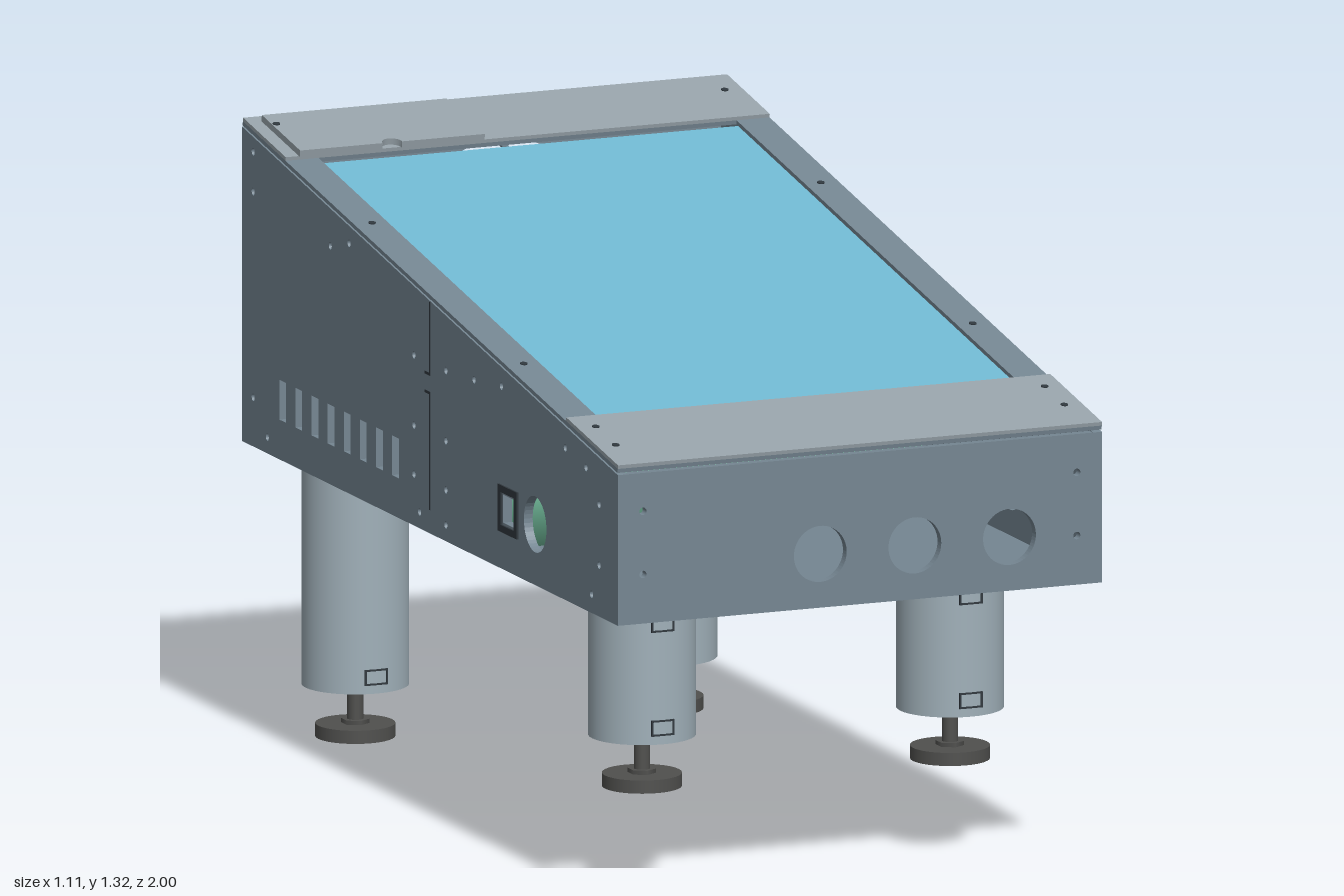
import * as THREE from 'three';
import { mergeVertices } from 'three/addons/utils/BufferGeometryUtils.js';

const mat = (name, color, side = THREE.FrontSide) => {
  const m = new THREE.MeshStandardMaterial({ color, side });
  m.name = name;
  return m;
};

export function createModel() {
  const model = new THREE.Group();
  const body = mat('slate body', 0x758692);
  const plate = mat('pale grey plate', 0x97a3aa);
  const legGrey = mat('leg grey', 0xa0b0b9);
  const glass = mat('blue screen', 0x70b9d2);
  const rubber = mat('dark rubber', 0x50504e);
  const green = mat('green electronics', 0x7dcdaa);
  const wood = mat('brown backing', 0x9c7038);
  const dark = mat('dark seam', 0x30383e);

  const add = (parent, name, geometry, material, x = 0, y = 0, z = 0) => {
    const m = new THREE.Mesh(geometry, material);
    m.name = name;
    m.position.set(x, y, z);
    parent.add(m);
    return m;
  };
  const box = (parent, name, material, x0, x1, y0, y1, z0, z1) =>
    add(parent, name, new THREE.BoxGeometry(x1 - x0, y1 - y0, z1 - z0), material,
      (x0 + x1) / 2, (y0 + y1) / 2, (z0 + z1) / 2);
  const polygon = (pts, Kind = THREE.Shape) => new Kind(pts.map(p => new THREE.Vector2(...p)));
  const rect = (x0, x1, y0, y1) => polygon([[x0, y0], [x1, y0], [x1, y1], [x0, y1]], THREE.Path);
  const circle = (x, y, r) => new THREE.Path().absarc(x, y, r, 0, Math.PI * 2, true);
  const extrude = (shape, depth, curveSegments = 20) =>
    new THREE.ExtrudeGeometry(shape, { depth, bevelEnabled: false, curveSegments });

  const BASE = 0.62, SLOPE = 0.175, MID = 1.117, T = 0.02;
  const topAt = z => MID - SLOPE * z;

  // Side walls, drawn in (z, y): sockets, vents and bolt holes
  const bolts = [[.9, .73], [.9, .86], [.83, .925], [.72, .945], [.86, .66], [.38, 1.01], [.235, .995],
    [.085, .985], [.085, .835], [.085, .73], [.085, .655], [-.085, .985], [-.085, .835], [-.085, .73],
    [-.055, .655], [-.43, 1.155], [-.53, 1.13], [-.94, 1.25], [-.94, 1.165], [-.94, .725], [-.865, .655]];
  const side = polygon([[-1, BASE], [1, BASE], [1, topAt(1)], [-1, topAt(-1)]]);
  side.holes.push(circle(.56, .75, .06), rect(.39, .45, .72, .78));
  for (let i = 0; i < 8; i++) {
    const z = -.183 - i * .0857;
    side.holes.push(rect(z - .018, z + .018, .705, .79));
  }
  bolts.forEach(([z, y]) => side.holes.push(circle(z, y, .008)));
  const sideGeo = extrude(side, T).rotateY(-Math.PI / 2);

  const socket = polygon([[.37, .7], [.47, .7], [.47, .8], [.37, .8]]);
  socket.holes.push(rect(.385, .455, .715, .785));
  const socketGeo = extrude(socket, .006).rotateY(-Math.PI / 2);

  for (const s of [1, -1]) {
    add(model, 'sideWall', sideGeo, body, s > 0 ? .55 : -.55 + T);
    add(model, 'socketFrame', socketGeo, dark, s > 0 ? .554 : -.548);
    const seam = (y0, y1, z0, z1) =>
      box(model, 'wallSeam', dark, s * .55 - .001, s * .55 + .001, y0, y1, z0, z1);
    seam(.67, .92, -.003, .003);
    seam(.96, 1.115, -.003, .003);
    seam(.917, .923, -.026, .003);
    seam(.957, .963, -.026, .003);
  }

  // Front wall with three button holes
  const W = .55 - T;
  const front = polygon([[-W, BASE], [W, BASE], [W, topAt(1)], [-W, topAt(1)]]);
  [-.09, .125, .34].forEach(x => front.holes.push(circle(x, .735, .06)));
  for (const x of [-.493, .493]) for (const y of [.725, .86]) front.holes.push(circle(x, y, .008));
  add(model, 'frontWall', extrude(front, T, 28), body, 0, 0, 1 - T);

  // Back wall with a fan opening and a cable slot
  const FX = .03, FY = .985, FR = .235;
  const backTop = topAt(-1 + T);
  const back = polygon([[-W, BASE], [W, BASE], [W, backTop], [-W, backTop]]);
  back.holes.push(circle(FX, FY, FR), rect(-.5, -.245, .825, .93));
  for (const x of [-.49, .49]) for (const y of [.725, 1.165]) back.holes.push(circle(x, y, .008));
  for (const x of [-.26, .32]) for (const y of [.72, 1.22]) back.holes.push(circle(x, y, .008));
  add(model, 'backWall', extrude(back, T, 40), body, 0, 0, -1);

  // Swirling fan guard
  const guard = new THREE.Group();
  guard.name = 'fanGuard';
  guard.position.set(FX, FY, -1);
  model.add(guard);
  const spoke = [];
  const edge = (r, w) => {
    const a = .9 * (r / FR) ** 1.3;
    return [r * Math.cos(a) - w * Math.sin(a), r * Math.sin(a) + w * Math.cos(a)];
  };
  for (let i = 0; i <= 10; i++) spoke.push(edge(.02 + i * .0222, -.008));
  for (let i = 10; i >= 0; i--) spoke.push(edge(.02 + i * .0222, .008));
  const spokeGeo = extrude(polygon(spoke), T - .002);
  for (let i = 0; i < 9; i++)
    add(guard, 'spoke', spokeGeo, body, 0, 0, .001).rotation.z = i * Math.PI * 2 / 9;
  add(guard, 'hub', new THREE.CylinderGeometry(.035, .035, T, 24).rotateX(Math.PI / 2), body, 0, 0, T / 2);

  // Floor, its seam and locating tabs
  box(model, 'floor', body, -W, W, BASE, BASE + .015, -1 + T, 1 - T);
  box(model, 'floorSeam', dark, -W, W, BASE - .001, BASE + .001, -.003, .003);
  for (const x of [-.47, .47]) for (const z of [-.55, .1])
    box(model, 'floorTab', plate, x - .015, x + .015, BASE - .001, BASE + .001, z - .05, z + .05);

  // Electronics block with softened shading
  const soft = new THREE.BoxGeometry(.9, .16, 1.16);
  soft.deleteAttribute('normal');
  soft.deleteAttribute('uv');
  const block = mergeVertices(soft);
  block.computeVertexNormals();
  add(model, 'electronics', block, green, 0, .72, -.29);

  // Sloping top
  const top = new THREE.Group();
  top.name = 'slopingTop';
  top.position.y = MID;
  top.rotation.x = Math.atan(SLOPE);
  model.add(top);
  const L = 1.0125;
  for (const s of [1, -1])
    box(top, 'sideRail', body, s > 0 ? .475 : -.55, s > 0 ? .55 : -.475, .004, .013, -L, L);
  box(top, 'frontPlate', plate, -.55, .55, .013, .021, .733, L);
  box(top, 'backPlate', plate, -.55, .55, .013, .021, -L, -.782);
  box(top, 'frontBacking', body, -.475, .475, .004, .013, .733, L);
  box(top, 'backBacking', body, -.475, .475, .004, .013, -L, -.782);
  box(top, 'screen', glass, -.5, .5, -.035, -.012, -.81, .77);
  box(top, 'screenBacking', wood, -.5, .5, -.05, -.035, -.81, .77);

  // Raised cover with a finger notch, drawn in (x, -z)
  const cover = new THREE.Shape().moveTo(-.52, .778).lineTo(-.335, .778)
    .absarc(-.31, .778, .022, Math.PI, 0, true).lineTo(-.1, .778).lineTo(-.1, .985).lineTo(-.52, .985);
  add(top, 'rearCover', extrude(cover, .014).rotateX(-Math.PI / 2), plate, 0, .021, 0);

  // Top screws
  const screwGeo = new THREE.CylinderGeometry(.008, .008, .003, 14);
  for (const x of [-.51, .51]) for (const z of [-.93, -.41, .41, .797, .904]) {
    const y = Math.abs(z) < .7 ? .0135 : z < 0 && x < 0 ? .0355 : .0215;
    add(top, 'screw', screwGeo, dark, x, y, z);
  }

  // Legs with adjustable feet
  const leg = (x, z, bottom, ground) => {
    const g = new THREE.Group();
    g.name = z > 0 ? 'frontLeg' : 'rearLeg';
    g.position.set(x, 0, z);
    model.add(g);
    const cyl = (name, r, y0, y1, m, n = 40) =>
      add(g, name, new THREE.CylinderGeometry(r, r, y1 - y0, n), m, 0, (y0 + y1) / 2, 0);
    cyl('legTube', .113, bottom, .588, legGrey);
    cyl('legCollar', .107, .588, BASE, legGrey);
    cyl('footRod', .017, ground + .02, bottom, rubber, 16);
    cyl('footNut', .03, ground + .025, ground + .037, rubber, 6);
    cyl('footPad', .084, ground, ground + .028, rubber, 32);
    // Latch openings outlined on the front of the tube
    for (const y of [.562, bottom + .035]) {
      box(g, 'latchTop', dark, -.024, .024, y + .013, y + .017, .106, .1135);
      box(g, 'latchBottom', dark, -.024, .024, y - .017, y - .013, .106, .1135);
      for (const s of [-1, 1])
        box(g, 'latchSide', dark, s * .024 - .002, s * .024 + .002, y - .017, y + .017, .106, .1135);
    }
    // Short slits at the back of the tube
    for (const y of [.5, bottom + .06]) for (const s of [-1, 1])
      box(g, 'slit', dark, s * .03 - .002, s * .03 + .002, y - .025, y + .025, -.112, -.106);
  };
  for (const x of [-.35, .35]) {
    leg(x, .66, .305, .195);
    leg(x, -.865, .112, 0);
  }
  return model;
}
